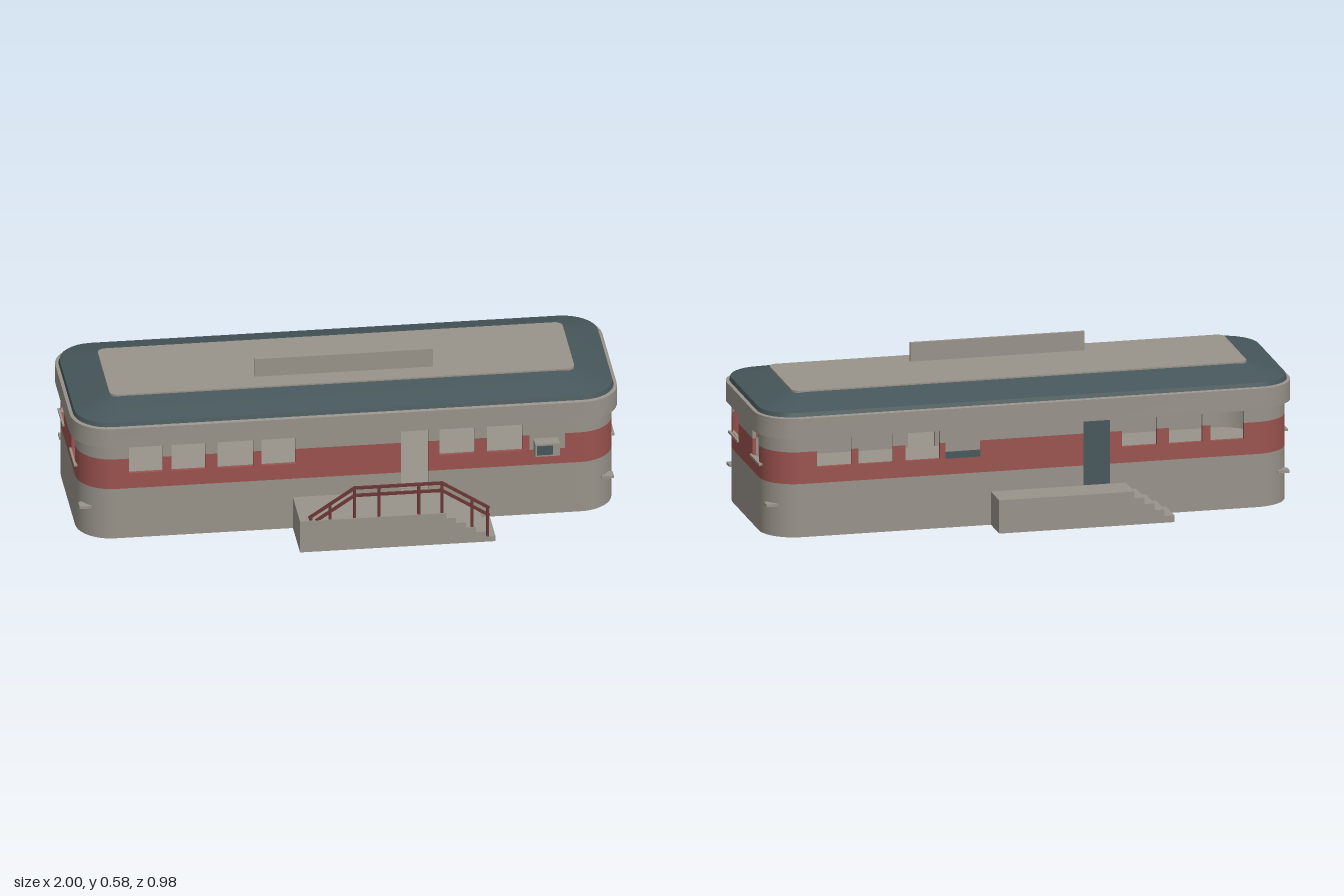
import * as THREE from 'three';
import { toCreasedNormals } from 'three/addons/utils/BufferGeometryUtils.js';

export function createModel() {
  const root = new THREE.Group();
  root.name = 'diner';
  const mat = (name, color) => new THREE.MeshStandardMaterial({ name, color, side: THREE.DoubleSide });
  const grey = mat('warmGrey', 0x98938a);
  const red = mat('redBand', 0x9a524e);
  const slate = mat('darkSlate', 0x46565a);
  const maroon = mat('maroonRail', 0x693634);

  const HX = 0.98, HZ = 0.3275, CZ = -0.0375, R = 0.13, T = 0.014;

  function add(name, geo, material, parent = root) {
    const m = new THREE.Mesh(geo, material);
    m.name = name;
    parent.add(m);
    return m;
  }
  // Box given by its minimum and maximum on each axis
  function box(name, x0, x1, y0, y1, z0, z1, material, parent = root) {
    const m = add(name, new THREE.BoxGeometry(x1 - x0, y1 - y0, z1 - z0), material, parent);
    m.position.set((x0 + x1) / 2, (y0 + y1) / 2, (z0 + z1) / 2);
    return m;
  }
  // Rounded rectangle outline in the ground plane
  function outline(hx, hz, r) {
    const pts = [], n = 8;
    [[1, 1], [-1, 1], [-1, -1], [1, -1]].forEach(([sx, sz], q) => {
      for (let i = 0; i <= n; i++) {
        const a = (q + i / n) * Math.PI / 2;
        pts.push([sx * (hx - r) + r * Math.cos(a), CZ + sz * (hz - r) + r * Math.sin(a)]);
      }
    });
    return pts;
  }
  // Skin through a list of levels [halfX, halfZ, radius, y]
  function skin(name, levels, material) {
    const loops = levels.map(([hx, hz, r, y]) => outline(hx, hz, r).map(([x, z]) => [x, y, z]));
    const pos = [];
    for (let k = 0; k + 1 < loops.length; k++) {
      const lo = loops[k], hi = loops[k + 1];
      lo.forEach((a, i) => {
        const j = (i + 1) % lo.length;
        pos.push(...a, ...hi[i], ...lo[j], ...lo[j], ...hi[i], ...hi[j]);
      });
    }
    const g = new THREE.BufferGeometry();
    g.setAttribute('position', new THREE.Float32BufferAttribute(pos, 3));
    return add(name, toCreasedNormals(g, 0.4), material);
  }
  // Flat rounded slab
  function slab(name, hx, hz, r, y, depth, material) {
    const s = new THREE.Shape(outline(hx, hz, r).map(([x, z]) => new THREE.Vector2(x, -z)));
    const g = new THREE.ExtrudeGeometry(s, { depth, bevelEnabled: false });
    g.rotateX(-Math.PI / 2);
    add(name, g, material).position.y = y;
  }

  // Straight walls, laid in colour strips that leave the openings free
  const rows = [0, 0.125, 0.2, 0.26, 0.32, 0.365, 0.455];
  function wall(name, half, openings, x, z, turn) {
    const g = new THREE.Group();
    g.name = name;
    g.position.set(x, 0, z);
    g.rotation.y = turn;
    root.add(g);
    for (let i = 0; i + 1 < rows.length; i++) {
      const y0 = rows[i], y1 = rows[i + 1];
      const material = y0 >= 0.2 && y1 <= 0.32 ? red : grey;
      const cuts = openings.filter(o => o[2] <= y0 && o[3] >= y1).sort((a, b) => a[0] - b[0]);
      let u = -half;
      for (const c of [...cuts, [half, half]]) {
        if (c[0] > u) box('wallPanel', u, c[0], y0, y1, -T, 0, material, g);
        u = c[1];
      }
    }
    return g;
  }
  const win = (a, b) => [a, b, 0.26, 0.365];
  const shared = [[-0.8, -0.675], [-0.645, -0.52], [-0.475, -0.345], [0.335, 0.465], [0.51, 0.64]];
  const front = [...shared, [-0.315, -0.19], [0.665, 0.795]].map(o => win(...o));
  front.push([0.195, 0.295, 0.125, 0.365]);
  const back = [...shared, [0.665, 0.795], [0.185, 0.315]].map(([a, b]) => win(-b, -a));
  back.push([0.2, 0.3, 0.125, 0.365]);
  const ends = [win(-0.2225, -0.1075), win(0.1025, 0.2225)];
  wall('frontWall', HX - R, front, 0, CZ + HZ, 0);
  wall('backWall', HX - R, back, 0, CZ - HZ, Math.PI);
  for (const s of [1, -1]) {
    const g = wall(s > 0 ? 'leftEndWall' : 'rightEndWall', HZ - R, ends, s * HX, CZ, s * Math.PI / 2);
    for (const o of ends) box('windowSill', o[0] - 0.01, o[1] + 0.01, 0.252, 0.26, -T, 0.008, grey, g);
  }

  // Rounded corners in three colour bands
  [[1, 1], [1, -1], [-1, -1], [-1, 1]].forEach(([sx, sz], q) => {
    for (const [y0, y1, m] of [[0, 0.2, grey], [0.2, 0.32, red], [0.32, 0.455, grey]]) {
      const g = new THREE.CylinderGeometry(R, R, y1 - y0, 10, 1, true, q * Math.PI / 2, Math.PI / 2);
      add('wallCorner', g, m).position.set(sx * (HX - R), (y0 + y1) / 2, CZ + sz * (HZ - R));
    }
  });
  slab('floor', HX - 0.015, HZ - 0.015, R - 0.015, 0.118, 0.01, grey);

  // Cornice and hipped roof
  skin('cornice', [[HX, HZ, R, 0.375], [1, 0.343, 0.14, 0.376], [1, 0.343, 0.14, 0.45], [HX, HZ, R, 0.454]], grey);
  skin('roofSlope', [[0.988, 0.331, 0.13, 0.452], [0.984, 0.328, 0.13, 0.468],
    [0.91, 0.255, 0.09, 0.49], [0.83, 0.175, 0.04, 0.51]], slate);
  slab('roofDeck', 0.85, 0.19, 0.03, 0.502, 0.01, grey);
  box('roofBoard', -0.31, 0.34, 0.51, 0.583, 0.061, 0.072, grey);

  // Back door, closed-up openings and cooling unit
  const ZF = CZ + HZ, ZB = CZ - HZ;
  box('backDoor', -0.3, -0.2, 0.125, 0.365, ZB + 0.002, ZB + T, slate);
  box('backHatchPanel', 0.185, 0.315, 0.285, 0.365, ZB + 0.002, ZB + T, grey);
  box('backHatchVent', 0.185, 0.315, 0.26, 0.285, ZB - 0.002, ZB + T, slate);
  box('frontWindowPanel', 0.665, 0.795, 0.26, 0.365, ZF - T, ZF - 0.002, grey);
  box('coolingUnit', 0.68, 0.77, 0.255, 0.305, ZF - T, 0.338, grey);
  box('coolingGrille', 0.686, 0.745, 0.262, 0.298, 0.338, 0.341, slate);

  // Small brackets near the corners
  for (const sx of [1, -1]) {
    for (const z of [0.245, -0.32]) box('cornerBracket', sx * 0.955 - 0.022, sx * 0.955 + 0.022, 0.114, 0.124, z - 0.02, z + 0.02, grey);
  }

  // Platforms and steps
  box('frontPlatform', -0.2, 0.335, 0, 0.125, ZF, 0.49, grey);
  for (let i = 0; i < 5; i++) {
    const x = 0.335 + i * 0.036;
    box('frontStep', x, x + 0.036, 0, 0.104 - i * 0.021, i < 4 ? ZF : 0.33, 0.49, grey);
  }
  box('backPlatform', -0.36, 0.145, 0, 0.125, -0.49, ZB, grey);
  for (let i = 0; i < 4; i++) {
    const x = -0.36 - i * 0.0375;
    box('backStep', x - 0.0375, x, 0, 0.1 - i * 0.025, -0.49, ZB, grey);
  }

  // Handrail: two parallel rails and their posts
  const railZ = 0.483;
  const railPath = [[-0.165, 0.135], [0, 0.245], [0.32, 0.245], [0.49, 0.135]];
  function railY(x) {
    const i = x < 0 ? 0 : x < 0.32 ? 1 : 2;
    const [a, b] = [railPath[i], railPath[i + 1]];
    return a[1] + (b[1] - a[1]) * (x - a[0]) / (b[0] - a[0]);
  }
  for (const drop of [0, 0.03]) {
    for (let i = 0; i < 3; i++) {
      const [a, b] = [railPath[i], railPath[i + 1]];
      const dx = b[0] - a[0], dy = b[1] - a[1];
      const m = add('handrail', new THREE.BoxGeometry(Math.hypot(dx, dy) + 0.006, 0.01, 0.009), maroon);
      m.position.set((a[0] + b[0]) / 2, (a[1] + b[1]) / 2 - drop, railZ);
      m.rotation.z = Math.atan2(dy, dx);
    }
  }
  for (const x of [-0.16, -0.09, 0, 0.09, 0.235, 0.32, 0.43, 0.487]) {
    const foot = x > 0.335 ? 0.02 : x < -0.1 ? 0.03 : 0.12;
    box('railPost', x - 0.005, x + 0.005, foot, railY(x), railZ - 0.0045, railZ + 0.0045, maroon);
  }
  return root;
}
